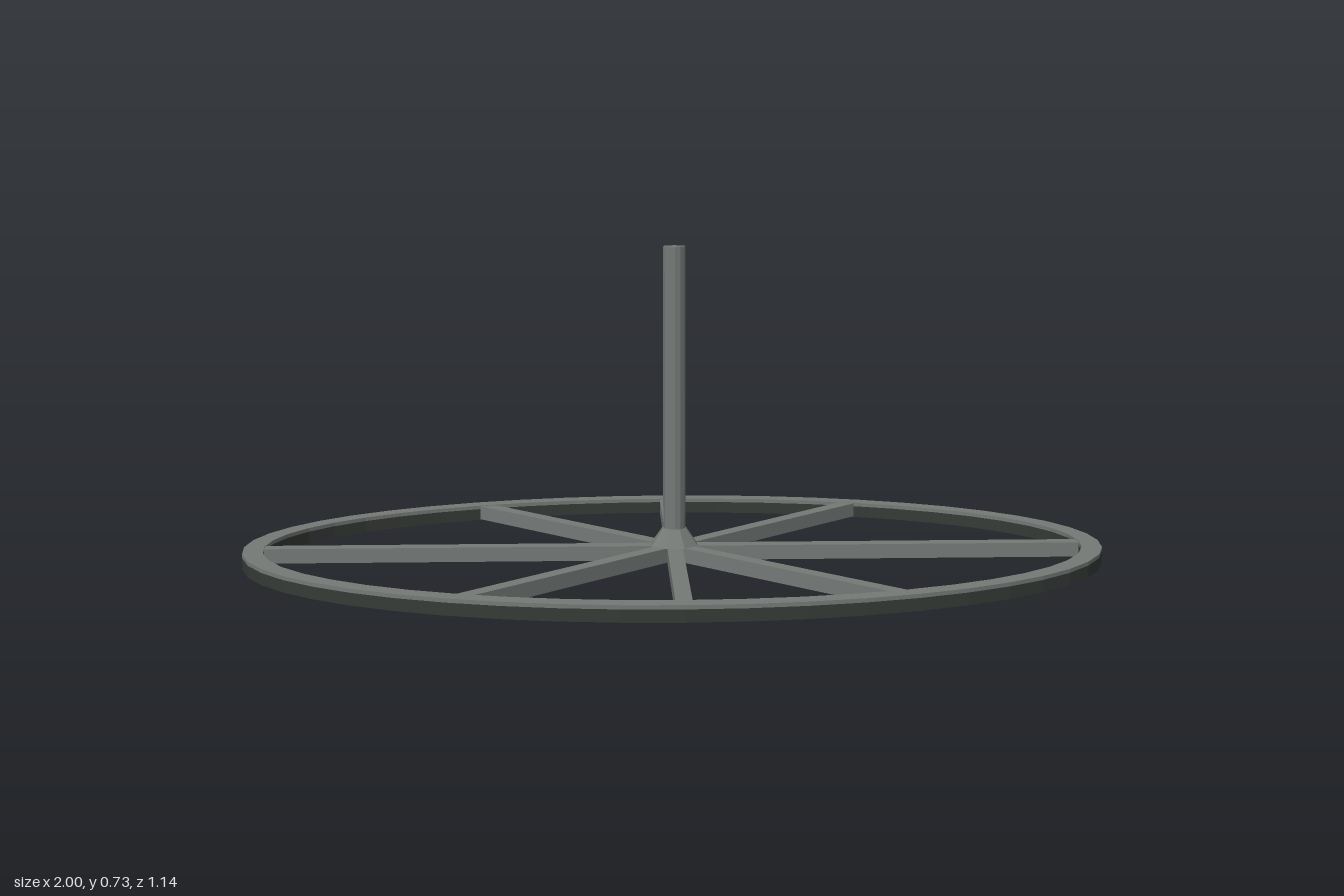
import * as THREE from 'three';

export function createModel() {
  const model = new THREE.Group();
  const metal = new THREE.MeshStandardMaterial({ color: 0x757a77 });
  metal.name = 'grey metal';
  const dark = new THREE.MeshStandardMaterial({ color: 0x363b37 });
  dark.name = 'dark grey';
  const THICK = 0.037;
  const BAND = 0.028;

  const add = (name, geometry, material = metal) => {
    // faceted sides
    const flat = geometry.index ? geometry.toNonIndexed() : geometry;
    flat.computeVertexNormals();
    const mesh = new THREE.Mesh(flat, material);
    mesh.name = name;
    model.add(mesh);
  };

  // points of a 48-sided ellipse
  const ellipse = (rx, rz) => Array.from({ length: 48 }, (_, i) => {
    const a = (i / 48) * Math.PI * 2;
    return new THREE.Vector2(rx * Math.cos(a), rz * Math.sin(a));
  });

  // flat oval rim: dark lower band with a thin grey top
  const rimShape = new THREE.Shape(ellipse(1, 0.57));
  rimShape.holes.push(new THREE.Path(ellipse(0.953, 0.527)));
  const addRim = (name, bottom, top, material) => {
    const rim = new THREE.ExtrudeGeometry(rimShape, { depth: top - bottom, bevelEnabled: false });
    rim.rotateX(-Math.PI / 2);
    rim.translate(0, bottom, 0);
    add(name, rim, material);
  };
  addRim('rimBand', 0, BAND, dark);
  addRim('rimTop', BAND, THICK, metal);

  // eight square spokes reaching into the rim
  for (let i = 0; i < 8; i++) {
    const a = (i * Math.PI) / 4;
    const length = 1 / Math.hypot(Math.cos(a) / 0.976, Math.sin(a) / 0.547);
    const spoke = new THREE.BoxGeometry(length, 0.034, 0.036);
    spoke.translate(length / 2, THICK / 2, 0);
    spoke.rotateY(a);
    add('spoke' + (i + 1), spoke);
  }

  // flared collar and upright post at the centre
  const collar = new THREE.CylinderGeometry(0.029, 0.0575, 0.04, 8);
  collar.rotateY(Math.PI / 8);
  collar.translate(0, 0.056, 0);
  add('collar', collar);

  const post = new THREE.CylinderGeometry(0.026, 0.026, 0.713, 12);
  post.translate(0, 0.02 + 0.713 / 2, 0);
  add('post', post);

  return model;
}
